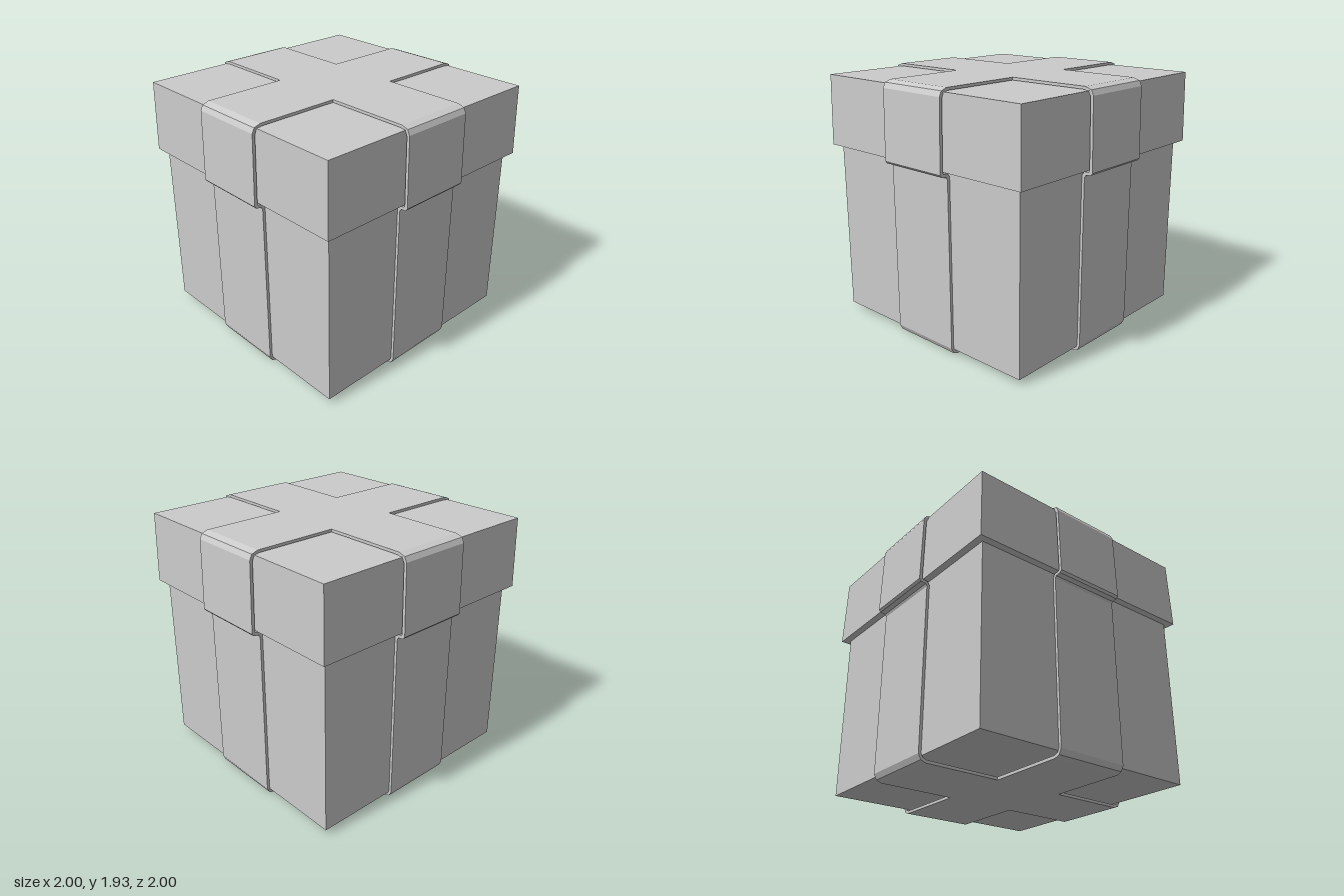
import * as THREE from 'three';

// Right half of the ribbon loop, bottom to top: outer and inner outlines
const OUTER = [
  [0.875, 0], [0.915, 0.015], [0.935, 0.055], [0.935, 1.315], [0.945, 1.333],
  [0.985, 1.338], [1, 1.355], [0.988, 1.875], [0.97, 1.913], [0.92, 1.93],
];
const INNER = [
  [0.87, 0.022], [0.9, 0.034], [0.914, 0.06], [0.914, 1.33], [0.93, 1.354],
  [0.97, 1.36], [0.976, 1.368], [0.966, 1.865], [0.953, 1.895], [0.915, 1.909],
];
const RIBBON_WIDTH = 0.57;

// Closed loop from a half outline mirrored across x = 0
function mirroredLoop(half) {
  const mirrored = half.map(([x, y]) => [-x, y]).reverse();
  return [...half, ...mirrored].map(([x, y]) => new THREE.Vector2(x, y));
}

// Box standing between two heights whose top may be narrower than its base
function taperedBox(bottom, top, y0, y1) {
  const geo = new THREE.BoxGeometry(2, y1 - y0, 2).translate(0, (y0 + y1) / 2, 0);
  const pos = geo.attributes.position;
  const mid = (y0 + y1) / 2;
  for (let i = 0; i < pos.count; i++) {
    const half = pos.getY(i) > mid ? top : bottom;
    pos.setX(i, pos.getX(i) * half);
    pos.setZ(i, pos.getZ(i) * half);
  }
  geo.computeVertexNormals();
  return geo;
}

export function createModel() {
  const group = new THREE.Group();
  const material = new THREE.MeshStandardMaterial({ color: 0xcccccc, flatShading: true });
  const add = (name, geometry) => {
    const mesh = new THREE.Mesh(geometry, material);
    mesh.name = name;
    group.add(mesh);
    return mesh;
  };

  // Box and overhanging lid
  add('box', taperedBox(0.91, 0.91, 0.043, 1.368));
  add('lid', taperedBox(0.963, 0.953, 1.368, 1.905));

  // Two crossing ribbon loops wrapped around box and lid
  const band = new THREE.Shape(mirroredLoop(OUTER));
  band.holes.push(new THREE.Path(mirroredLoop(INNER)));
  const ribbon = new THREE.ExtrudeGeometry(band, { depth: RIBBON_WIDTH, bevelEnabled: false });
  ribbon.translate(0, 0, -RIBBON_WIDTH / 2);
  add('ribbonAcross', ribbon);
  add('ribbonFrontToBack', ribbon).rotation.y = Math.PI / 2;

  return group;
}
